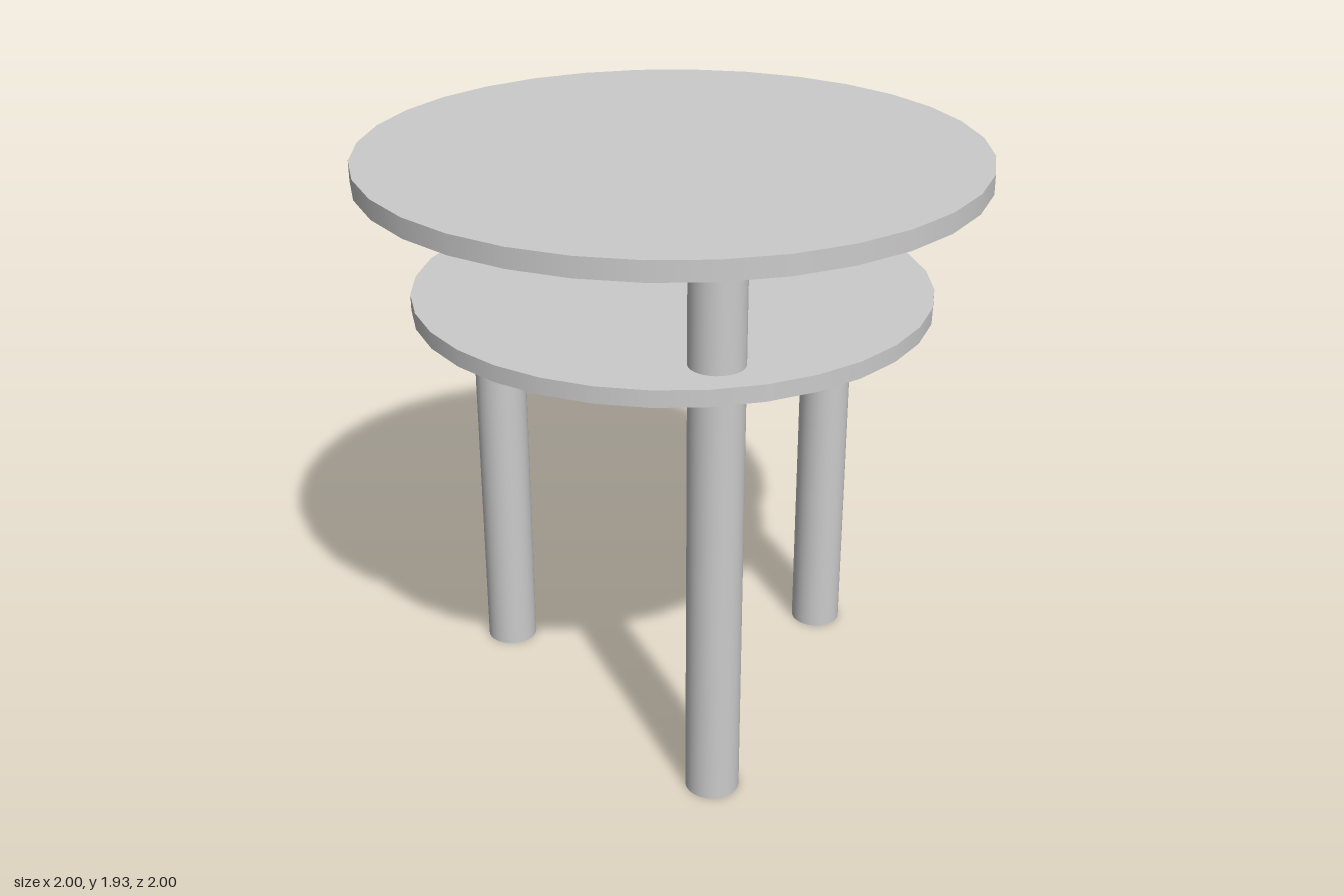
import * as THREE from 'three';

const SIDES = 32;

export function createModel() {
  const group = new THREE.Group();
  const material = new THREE.MeshStandardMaterial({ color: 0xcccccc });

  // Upright cylinder between two heights
  function addCylinder(name, radius, bottom, top, x = 0, z = 0) {
    const geometry = new THREE.CylinderGeometry(radius, radius, top - bottom, SIDES);
    const mesh = new THREE.Mesh(geometry, material);
    mesh.name = name;
    mesh.position.set(x, (bottom + top) / 2, z);
    group.add(mesh);
  }

  // Round top and the smaller shelf below it
  addCylinder('tableTop', 1, 1.872, 1.935);
  addCylinder('shelf', 0.84, 1.436, 1.49);

  // Three legs passing through the shelf up to the top
  const legs = [
    ['rightLeg', -0.651, 0.035],
    ['frontLeftLeg', 0.408, 0.527],
    ['backLeftLeg', 0.313, -0.583],
  ];
  for (const [name, x, z] of legs) addCylinder(name, 0.087, 0, 1.89, x, z);

  return group;
}
